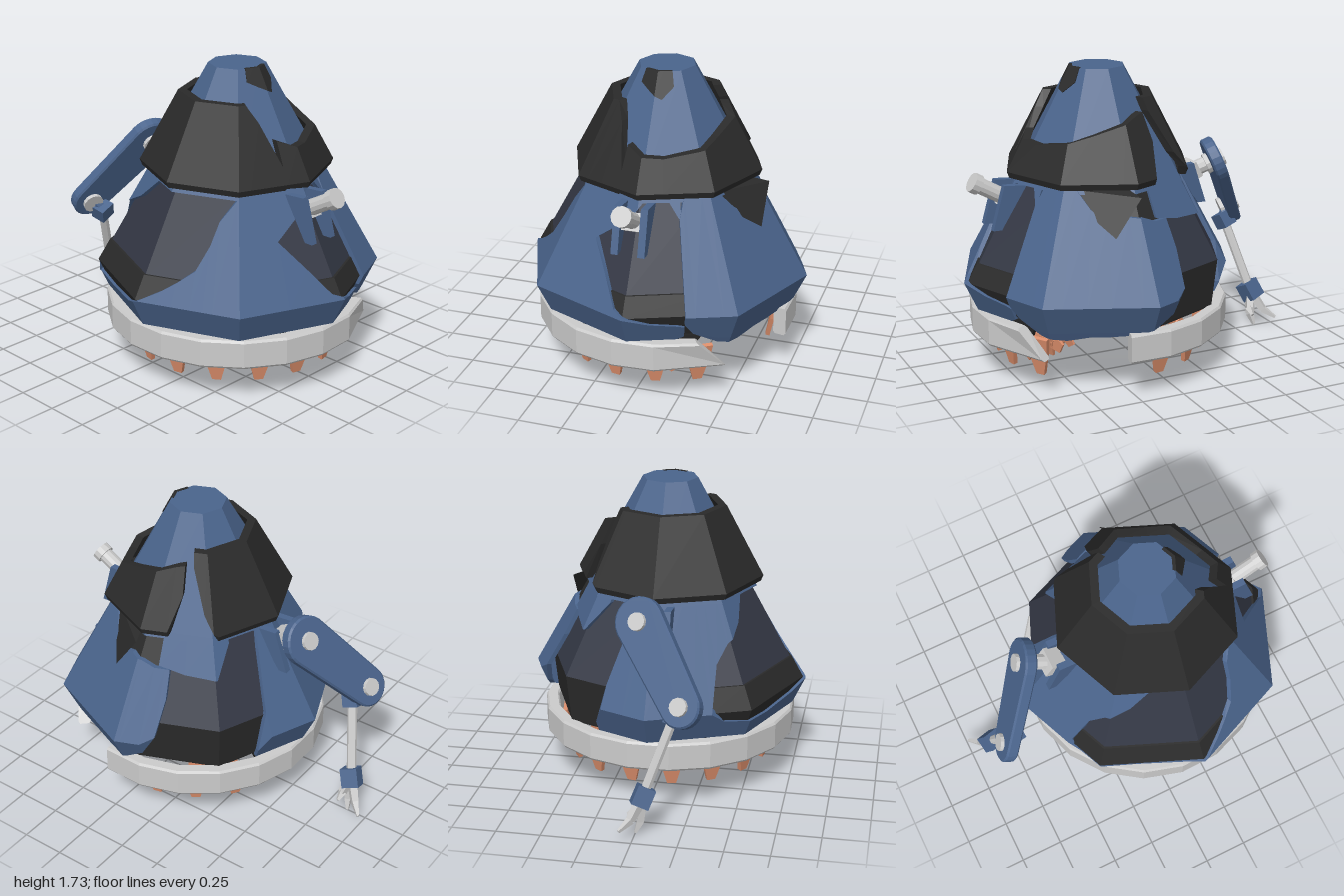
import * as THREE from 'three';

const mat = (color) => new THREE.MeshStandardMaterial({ color, flatShading: true, side: THREE.DoubleSide });
const BLUE = mat(0x4a648c), NAVY = mat(0x333744), DARK = mat(0x2a2a2a), ORANGE = mat(0xdd8f6c), GREY = mat(0xcccccc);
const V = (x, y, z) => new THREE.Vector3(x, y, z);
const rad = THREE.MathUtils.degToRad;

// Octagonal cone profiles as [height, corner radius]
const OUTER = [[0.26, 0.67], [0.39, 0.735], [0.555, 0.812], [1.13, 0.49], [1.725, 0.16]];
const CORE = [[0.26, 0.66], [0.39, 0.69], [0.66, 0.72], [1.13, 0.46], [1.725, 0.16]];
const SKIRT = [[1.13, 0.53], [1.165, 0.544], [1.57, 0.325]];

function add(parent, name, geometry, material) {
  const m = new THREE.Mesh(geometry, material);
  m.name = name;
  parent.add(m);
  return m;
}

function lerpTable(table, x, col) {
  let i = 1;
  while (i < table.length - 1 && table[i][0] < x) i++;
  const a = table[i - 1], b = table[i];
  return a[col] + (b[col] - a[col]) * (x - a[0]) / (b[0] - a[0]);
}

// Torn armour plate wrapped on the octagonal cone; edge rows are [degrees, bottom y, top y]
function plate(parent, name, material, profile, edge, offset = 0, thick = 0.03) {
  const first = edge[0][0], last = edge[edge.length - 1][0];
  const angles = edge.map((e) => e[0]);
  for (let a = Math.ceil(first / 45) * 45; a < last; a += 45) if (!angles.includes(a)) angles.push(a);
  angles.sort((a, b) => a - b);
  const point = (a, y, inset) => {
    const local = ((a % 45) + 45) % 45 - 22.5;
    const r = (lerpTable(profile, y, 1) + offset - inset) * Math.cos(rad(22.5)) / Math.cos(rad(local));
    return [r * Math.sin(rad(a)), y, r * Math.cos(rad(a))];
  };
  const columns = angles.map((a) => {
    const lo = lerpTable(edge, a, 1), hi = lerpTable(edge, a, 2);
    const ys = [lo, ...profile.map((p) => THREE.MathUtils.clamp(p[0], lo, hi)), hi];
    return { out: ys.map((y) => point(a, y, 0)), inn: ys.map((y) => point(a, y, thick)) };
  });
  const pos = [];
  const quad = (a, b, c, d) => pos.push(...a, ...b, ...c, ...a, ...c, ...d);
  const n = profile.length + 1;
  columns.forEach((c, i) => {
    const d = columns[i + 1];
    for (let j = 0; j < n; j++) {
      if (d) {
        quad(c.out[j], d.out[j], d.out[j + 1], c.out[j + 1]);
        quad(c.inn[j + 1], d.inn[j + 1], d.inn[j], c.inn[j]);
      }
      if (i === 0) quad(c.inn[j], c.out[j], c.out[j + 1], c.inn[j + 1]);
      if (!d) quad(c.out[j], c.inn[j], c.inn[j + 1], c.out[j + 1]);
    }
    if (d) {
      quad(c.inn[0], d.inn[0], d.out[0], c.out[0]);
      quad(c.out[n], d.out[n], d.inn[n], c.inn[n]);
    }
  });
  const g = new THREE.BufferGeometry();
  g.setAttribute('position', new THREE.Float32BufferAttribute(pos, 3));
  g.computeVertexNormals();
  return add(parent, name, g, material);
}

// Cylinder between two points
function rod(parent, name, a, b, r1, r2, material, sides = 10) {
  const m = add(parent, name, new THREE.CylinderGeometry(r2, r1, a.distanceTo(b), sides), material);
  m.position.copy(a).lerp(b, 0.5);
  m.quaternion.setFromUnitVectors(V(0, 1, 0), b.clone().sub(a).normalize());
}

function box(parent, name, size, p, material, rot) {
  const m = add(parent, name, new THREE.BoxGeometry(...size), material);
  m.position.copy(p);
  m.rotation.set(...rot);
}

function extrude(points, depth) {
  const s = new THREE.Shape(points.map((p) => new THREE.Vector2(...p)));
  return new THREE.ExtrudeGeometry(s, { depth, bevelEnabled: false }).translate(0, 0, -depth / 2);
}

// Slants a broken ring end: lower vertices, from an index on, reach further round
function slantEnd(geometry, start) {
  const p = geometry.attributes.position, v = V(0, 0, 0);
  for (let i = start; i < p.count; i++) {
    v.fromBufferAttribute(p, i).applyAxisAngle(V(0, 1, 0), rad(13) * (0.388 - v.y) / 0.166);
    p.setXYZ(i, v.x, v.y, v.z);
  }
  return geometry;
}

// Pair of brackets with a grey block between; outline is [distance outward, y]
function mount(parent, name, outline, block, turn) {
  const g = new THREE.Group();
  g.name = name;
  g.position.x = -0.012;
  g.rotation.y = turn;
  for (const x of [-0.075, 0.075]) {
    const m = add(g, 'bracket', extrude(outline, 0.04), BLUE);
    m.rotation.y = -Math.PI / 2;
    m.position.x = x;
  }
  box(g, 'pivotBlock', [0.13, 0.1, 0.1], V(0, block[1], block[0]), GREY, [-0.5, 0, 0]);
  parent.add(g);
}

export function createModel() {
  const model = new THREE.Group();
  const hull = new THREE.Group();
  hull.name = 'hull';
  hull.position.z = 0.18;
  model.add(hull);

  // Inner cone in three coloured bands, and its cap; the lowest band is cut short on one side
  const band = (name, m, p, lo, hi) => plate(hull, name, m, p, [[-180, lo, hi], [180, lo, hi]]);
  plate(hull, 'lowerCore', DARK, CORE, [[-200, 0.26, 0.66], [28, 0.26, 0.66], [34, 0.38, 0.66], [154, 0.38, 0.66], [160, 0.26, 0.66]]);
  band('middleCore', NAVY, CORE, 0.66, 1.13);
  band('upperCone', BLUE, OUTER, 1.1, 1.725);
  add(hull, 'topCap', new THREE.CircleGeometry(0.16, 8).rotateX(-Math.PI / 2).translate(0, 1.725, 0), BLUE);
  plate(hull, 'topPatch', DARK, OUTER, [[-30, 1.66, 1.727], [-12, 1.63, 1.727], [10, 1.59, 1.727], [28, 1.65, 1.727]], 0.006, 0.02);

  // Dark layers showing through the holes
  plate(hull, 'frontBand', DARK, OUTER, [[-26, 0.42, 0.66], [36, 0.42, 0.66]], -0.02);
  plate(hull, 'leftBand', DARK, OUTER, [[-152, 0.41, 0.68], [-55, 0.41, 0.68]], -0.02);
  plate(hull, 'tornHole', DARK, CORE, [[58, 0.92, 1.12], [106, 0.92, 1.12]], 0.008);

  // Torn blue skin
  const skin = (name, edge, off = 0) => plate(hull, name, BLUE, OUTER, edge, off);
  skin('sideSkin', [[-98, 0.39, 0.5], [-88, 0.39, 0.56], [-80, 0.39, 0.62], [-74, 0.39, 0.67], [-66, 0.39, 0.74], [-60, 0.39, 0.87], [-56, 0.39, 0.99], [-46, 0.39, 1.1], [-24, 0.39, 1.15]]);
  skin('skinAboveHole', [[-24, 0.88, 1.15], [-4, 1.02, 1.15], [4, 1.12, 1.15], [18, 1.11, 1.15], [26, 1.0, 1.15]]);
  skin('skinBelowHole', [[-24, 0.39, 0.88], [-12, 0.39, 0.73], [-4, 0.39, 0.59], [10, 0.39, 0.51], [22, 0.39, 0.49], [25, 0.41, 0.48]]);
  skin('broadSkin', [[25, 0.5, 1.02], [29, 0.43, 1.13], [40, 0.36, 1.14], [52, 0.34, 1.13], [62, 0.36, 1.03], [72, 0.36, 0.96], [84, 0.37, 0.99], [92, 0.41, 0.98], [100, 0.47, 0.95], [106, 0.6, 0.95], [109, 0.8, 0.95]], 0.004);
  skin('upperSkin', [[102, 0.96, 1.15], [118, 0.93, 1.15], [136, 0.92, 1.15], [146, 1.08, 1.15]], -0.004);
  skin('backSkin', [[154, 0.39, 0.45], [159, 0.39, 0.68], [165, 0.39, 1.0], [170, 0.39, 1.14], [200, 0.39, 1.14], [208, 0.39, 1.13]]);
  skin('backCornerSkin', [[-152, 0.39, 1.13], [-146, 0.8, 1.13], [-138, 0.9, 1.13], [-125, 0.98, 1.13], [-112, 1.1, 1.13]]);
  skin('lowerSkin', [[-152, 0.39, 0.6], [-146, 0.39, 0.5], [-120, 0.39, 0.47], [-98, 0.39, 0.5]]);

  // Flared dark skirt in two pieces, and a loose torn flap
  plate(hull, 'backSkirt', DARK, SKIRT, [[122, 1.5, 1.57], [130, 1.27, 1.57], [138, 1.13, 1.57], [322, 1.13, 1.57], [333, 1.13, 1.48], [346, 1.13, 1.25]], 0, 0.05);
  plate(hull, 'frontSkirt', DARK, SKIRT, [[-14, 1.14, 1.38], [0, 1.13, 1.34], [15, 1.13, 1.33], [42, 1.13, 1.36], [62, 1.13, 1.4], [82, 1.13, 1.44], [106, 1.13, 1.49], [114, 1.35, 1.5]], 0, 0.05);
  const flap = new THREE.BufferGeometry().setFromPoints([V(0.3, 1.13, 0.37), V(0.585, 0.89, 0.15), V(0.585, 1.1, 0), V(0.3, 1.13, 0.37), V(0.585, 1.1, 0), V(0.44, 1.14, 0.05)]);
  flap.computeVertexNormals();
  add(hull, 'tornFlap', flap, DARK);

  // Broken base ring with closed ends, one of them slanted
  const section = [[0.67, 0.235], [0.68, 0.222], [0.735, 0.222], [0.745, 0.235], [0.745, 0.375], [0.735, 0.388], [0.68, 0.388], [0.67, 0.375], [0.67, 0.235]];
  const pts = section.map((p) => new THREE.Vector2(...p));
  const ring = new THREE.LatheGeometry(pts, 17, rad(80), rad(310));
  add(hull, 'baseRing', slantEnd(ring, ring.attributes.position.count - pts.length), GREY);
  const ringEnd = (a) => new THREE.ShapeGeometry(new THREE.Shape(pts)).rotateY(rad(a - 90));
  add(hull, 'ringEnd', ringEnd(80), GREY);
  add(hull, 'slantedRingEnd', slantEnd(ringEnd(30), 0), GREY);

  // Hanging teeth, missing where the ring is broken
  const tooth = extrude([[-0.075, 0.1], [0.075, 0.1], [0.06, 0.0], [0.025, -0.13], [-0.025, -0.13], [-0.06, 0.0]], 0.025);
  for (let i = 0; i < 16; i++) {
    if (i === 2 || i === 3) continue;
    const holder = new THREE.Group();
    holder.name = 'toothHolder';
    holder.rotation.y = rad(i * 22.5 + 11);
    const t = add(holder, 'tooth', tooth, ORANGE);
    t.position.set(0, 0.21, 0.61);
    t.rotation.x = 0.2;
    hull.add(holder);
  }

  // Three radial grinders with rows of blades, widening outward
  const blade = extrude([[-0.07, 0.0], [0.07, 0.0], [0.035, 0.14], [-0.035, 0.14]], 0.018);
  for (const a of [15, 135, 255]) {
    const grinder = new THREE.Group();
    grinder.name = 'grinder';
    grinder.rotation.y = rad(a);
    rod(grinder, 'shaft', V(0, 0.2, 0.08), V(0, 0.2, 0.58), 0.015, 0.03, ORANGE, 6);
    for (let row = 0; row < 4; row++) for (let k = 0; k < 6; k++) {
      const b = add(grinder, 'blade', blade, ORANGE);
      b.position.set(0, 0.21, 0.14 + row * 0.12);
      b.rotation.set(-0.25, 0, rad(k * 60 + row * 30), 'ZYX');
      b.scale.setScalar(0.6 + row * 0.15);
    }
    hull.add(grinder);
  }

  // Front cannon
  mount(model, 'cannonMount', [[0.84, 0.86], [0.79, 0.86], [0.64, 1.1], [0.77, 1.11]], [0.71, 1.0], 0);
  rod(model, 'barrel', V(-0.012, 1.0, 0.7), V(-0.012, 1.12, 0.91), 0.045, 0.045, GREY, 12);
  rod(model, 'muzzle', V(-0.012, 1.105, 0.885), V(-0.012, 1.128, 0.925), 0.057, 0.057, GREY, 12);

  // Rear arm: mount, capsule plate with pivots, forearm and claw
  mount(model, 'armMount', [[0.48, 0.87], [0.43, 0.87], [0.26, 1.1], [0.4, 1.11]], [0.41, 1.04], Math.PI);
  const shoulder = V(0.03, 1.1, -0.565), elbow = V(-0.24, 0.73, -0.815);
  const along = elbow.clone().sub(shoulder).normalize();
  const normal = V(0.29, 0.44, -0.85);
  normal.addScaledVector(along, -normal.dot(along)).normalize();
  rod(model, 'shoulderPin', V(-0.01, 1.04, -0.42), shoulder, 0.045, 0.045, GREY);
  const reach = shoulder.distanceTo(elbow);
  const outline = new THREE.Shape();
  outline.absarc(0, 0, 0.13, Math.PI / 2, Math.PI * 1.5);
  outline.absarc(reach, 0, 0.105, -Math.PI / 2, Math.PI / 2);
  const arm = add(model, 'upperArm', new THREE.ExtrudeGeometry(outline, { depth: 0.05, bevelSize: 0.01, bevelThickness: 0.01, bevelSegments: 1, curveSegments: 6 }).translate(0, 0, -0.025), BLUE);
  arm.quaternion.setFromRotationMatrix(new THREE.Matrix4().makeBasis(along, normal.clone().cross(along), normal));
  arm.position.copy(shoulder);
  for (const p of [shoulder, elbow]) rod(model, 'armPivot', p.clone().addScaledVector(normal, -0.06), p.clone().addScaledVector(normal, 0.055), 0.062, 0.05, GREY, 12);

  const wrist = V(-0.04, 0.22, -0.87), top = V(-0.19, 0.65, -0.76);
  rod(model, 'elbowLink', elbow, top, 0.04, 0.04, BLUE, 6);
  box(model, 'elbowBlock', [0.1, 0.09, 0.09], top, BLUE, [0.3, 0.2, 0.35]);
  rod(model, 'forearm', top, wrist, 0.028, 0.028, GREY, 8);
  box(model, 'wristBlock', [0.1, 0.11, 0.1], wrist, BLUE, [0.3, 0.3, 0.35]);
  for (const tip of [V(0.0, 0.005, -0.88), V(0.07, 0.06, -0.99), V(0.05, 0.09, -0.84)]) {
    const knuckle = wrist.clone().lerp(tip, 0.6).add(V(-0.01, -0.02, 0.01));
    rod(model, 'clawBase', wrist, knuckle, 0.035, 0.026, GREY, 4);
    rod(model, 'clawTip', knuckle, tip, 0.026, 0.01, GREY, 4);
  }
  return model;
}
